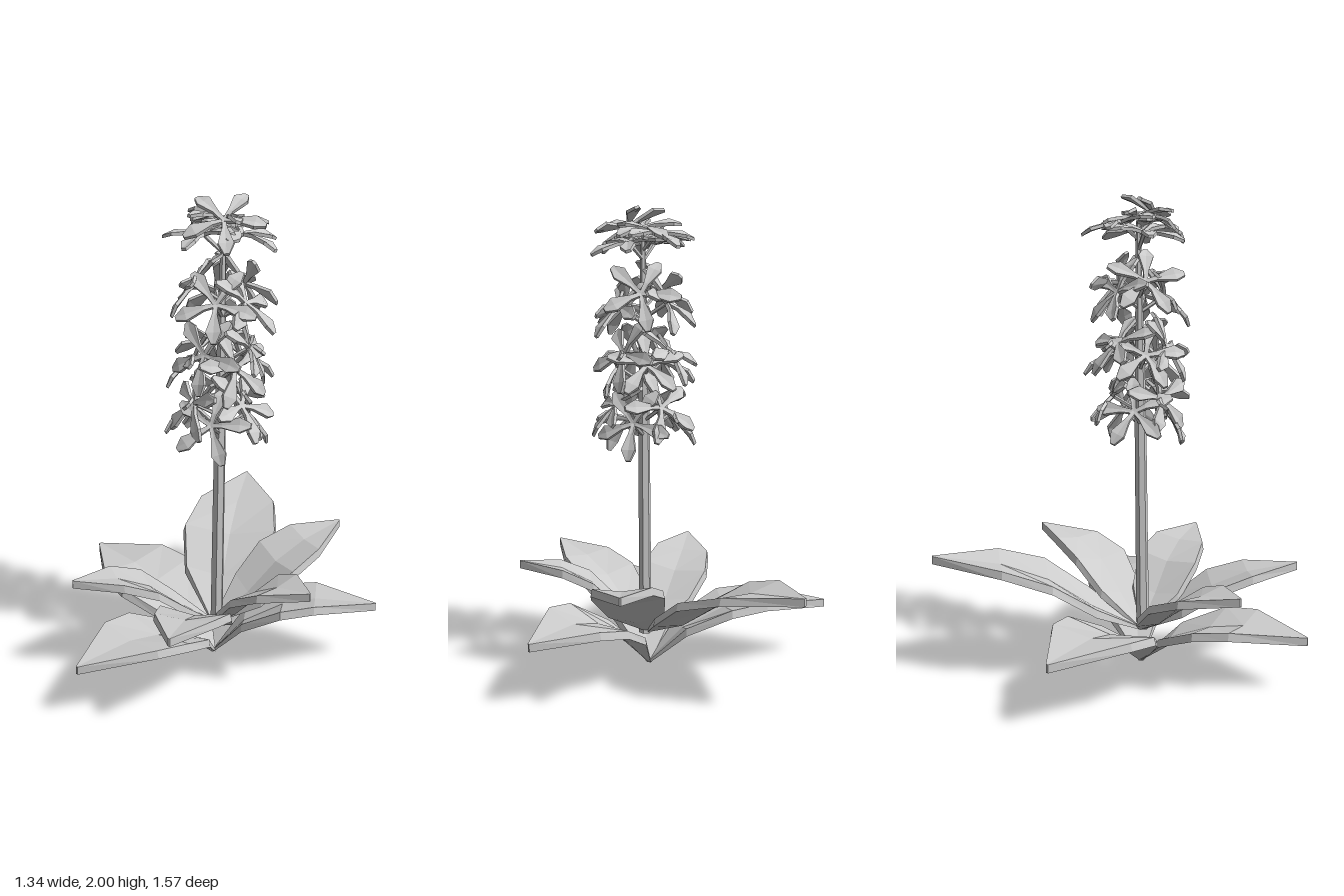
import * as THREE from 'three';

const grey = new THREE.MeshStandardMaterial({ color: 0xcccccc });
grey.name = 'pale grey';

// Thick blade growing along +z. Each station is
// [z, half width, height, thickness, keel depth, sideways offset, tilt].
// The underside is slightly wider than the top.
function bladeGeometry(stations) {
  const pos = [];
  const index = [];
  for (const [z, w, y, t, keel, x = 0, tilt = 0] of stations) {
    const top = y + t / 2;
    const low = y - t / 2;
    const v = w * 1.05;
    const rise = w * tilt;
    pos.push(x - w, top - rise, z, x, top - keel, z, x + w, top + rise, z);
    pos.push(x + v, low + rise, z, x, low - keel, z, x - v, low - rise, z);
  }
  const last = (stations.length - 1) * 6;
  for (let s = 0; s < last; s += 6) {
    for (let j = 0; j < 6; j++) {
      const a = s + j, b = s + (j + 1) % 6;
      index.push(a, a + 6, b, b, a + 6, b + 6);
    }
  }
  for (const [a, b, c, d] of [[0, 1, 4, 5], [1, 2, 3, 4]]) {
    index.push(a, b, c, a, c, d);
    index.push(last + a, last + c, last + b, last + a, last + d, last + c);
  }
  const g = new THREE.BufferGeometry();
  g.setAttribute('position', new THREE.Float32BufferAttribute(pos, 3));
  g.setIndex(index);
  const flat = g.toNonIndexed();
  flat.computeVertexNormals();
  return flat;
}

function mesh(name, geometry, parent) {
  const m = new THREE.Mesh(geometry, grey);
  m.name = name;
  parent.add(m);
  return m;
}

// Straight rod between two points
function rod(name, from, to, r0, r1, sides, parent) {
  const dir = to.clone().sub(from);
  const g = new THREE.CylinderGeometry(r1, r0, dir.length(), sides).toNonIndexed();
  g.computeVertexNormals();
  const m = mesh(name, g, parent);
  m.position.copy(from).addScaledVector(dir, 0.5);
  m.quaternion.setFromUnitVectors(new THREE.Vector3(0, 1, 0), dir.normalize());
}

// Leaf shapes: [distance, half width, rise] as shares of the leaf's length and height
const lowerProfile = [[0, 0.012, 0], [0.19, 0.16, 0.66], [0.43, 0.25, 1.04], [0.63, 0.22, 1.13], [1, 0.006, 1]];
const upperProfile = [[0, 0.012, 0], [0.24, 0.185, 0.38], [0.45, 0.235, 0.74], [0.68, 0.195, 0.92], [1, 0.006, 1]];

function addLeaf(name, profile, baseY, [tx, ty, tz, tilt, bend, width], parent) {
  const bx = -0.03, bz = 0.1;
  const length = Math.hypot(tx - bx, tz - bz);
  const stations = profile.map(([t, w, h], i) => [
    t * length, w * length * width, (ty - baseY) * h, i ? 0.034 : 0.012,
    i === 0 || i === 4 ? 0 : w * length * (0.28 - 0.25 * t),
    bend * 4 * t * (1 - t), tilt,
  ]);
  const leaf = mesh(name, bladeGeometry(stations), parent);
  leaf.position.set(bx, baseY, bz);
  leaf.rotation.y = Math.atan2(tx - bx, tz - bz);
}

export function createModel() {
  const model = new THREE.Group();
  model.name = 'floweringPlant';

  // Two whorls of leaves: tip x, y, z, then tilt, sideways bend and width factor
  const leaves = new THREE.Group();
  leaves.name = 'leaves';
  model.add(leaves);
  for (const leaf of [
    [0.67, 0.265, 0.06, -0.12, -0.012, 1], [-0.67, 0.25, -0.37, -0.06, 0.03, 1], [-0.47, 0.22, 0.71, 0, 0, 1],
  ]) addLeaf('lowerLeaf', lowerProfile, 0.012, leaf, leaves);
  for (const leaf of [
    [-0.02, 0.5, -0.79, 0, 0, 1], [0.48, 0.495, -0.28, 0.08, -0.04, 1], [0.42, 0.48, 0.44, 0.08, 0, 1.05],
    [-0.08, 0.42, 0.78, 0, 0, 0.93], [-0.57, 0.435, 0.4, 0.08, -0.035, 1],
  ]) addLeaf('upperLeaf', upperProfile, 0.155, leaf, leaves);

  // Stem
  const stemAt = (y) => new THREE.Vector3(-0.018 + 0.016 * y, y, 0.112 - 0.012 * y);
  rod('stem', stemAt(0.15), stemAt(1.1), 0.028, 0.025, 6, model);
  rod('flowerStalk', stemAt(1.1), stemAt(1.9), 0.025, 0.01, 6, model);

  // Flower spike: tiers of five-petalled flowers on short stalks
  let seed = 11;
  const rand = () => (seed = (seed * 16807) % 2147483647) / 2147483647;
  const jitter = (a) => (rand() * 2 - 1) * a;
  const up = new THREE.Vector3(0, 1, 0);
  const petal = bladeGeometry([
    [0, 0.008, 0, 0.014, 0], [0.05, 0.011, 0.01, 0.014, 0.002],
    [0.125, 0.031, 0.012, 0.014, 0.005], [0.168, 0.01, -0.002, 0.012, 0],
  ]);

  function addFlower(center, normal, spin) {
    const flower = new THREE.Group();
    flower.name = 'flower';
    flower.position.copy(center);
    flower.quaternion.setFromUnitVectors(up, normal);
    for (let i = 0; i < 5; i++) {
      const p = mesh('petal', petal, flower);
      p.rotation.set(jitter(0.15), spin + i * Math.PI * 0.4, 0, 'YXZ');
    }
    model.add(flower);
  }

  // [height, flower count, outward tilt, distance from the stem]
  const tiers = [[1.135, 6, 1.05, 0.115], [1.37, 6, 0.95, 0.11], [1.62, 5, 0.9, 0.105], [1.87, 4, 0.4, 0.075]];
  tiers.forEach(([y, count, tilt, reach], k) => {
    for (let i = 0; i < count; i++) {
      const a = (i / count) * Math.PI * 2 + k * 0.55 + jitter(0.15);
      const lean = tilt + jitter(0.2);
      const normal = new THREE.Vector3(Math.sin(a) * Math.sin(lean), Math.cos(lean), Math.cos(a) * Math.sin(lean));
      const h = y + (i % 2 ? 0.03 : -0.03) + jitter(0.02);
      const center = stemAt(h).add(new THREE.Vector3(Math.sin(a) * reach, 0, Math.cos(a) * reach));
      rod('flowerStem', stemAt(h - 0.07), center, 0.008, 0.01, 5, model);
      addFlower(center, normal, rand() * 6);
    }
  });

  // Crowning flower
  addFlower(stemAt(1.915), new THREE.Vector3(0.25, 1, -0.2).normalize(), 0.5);

  return model;
}
